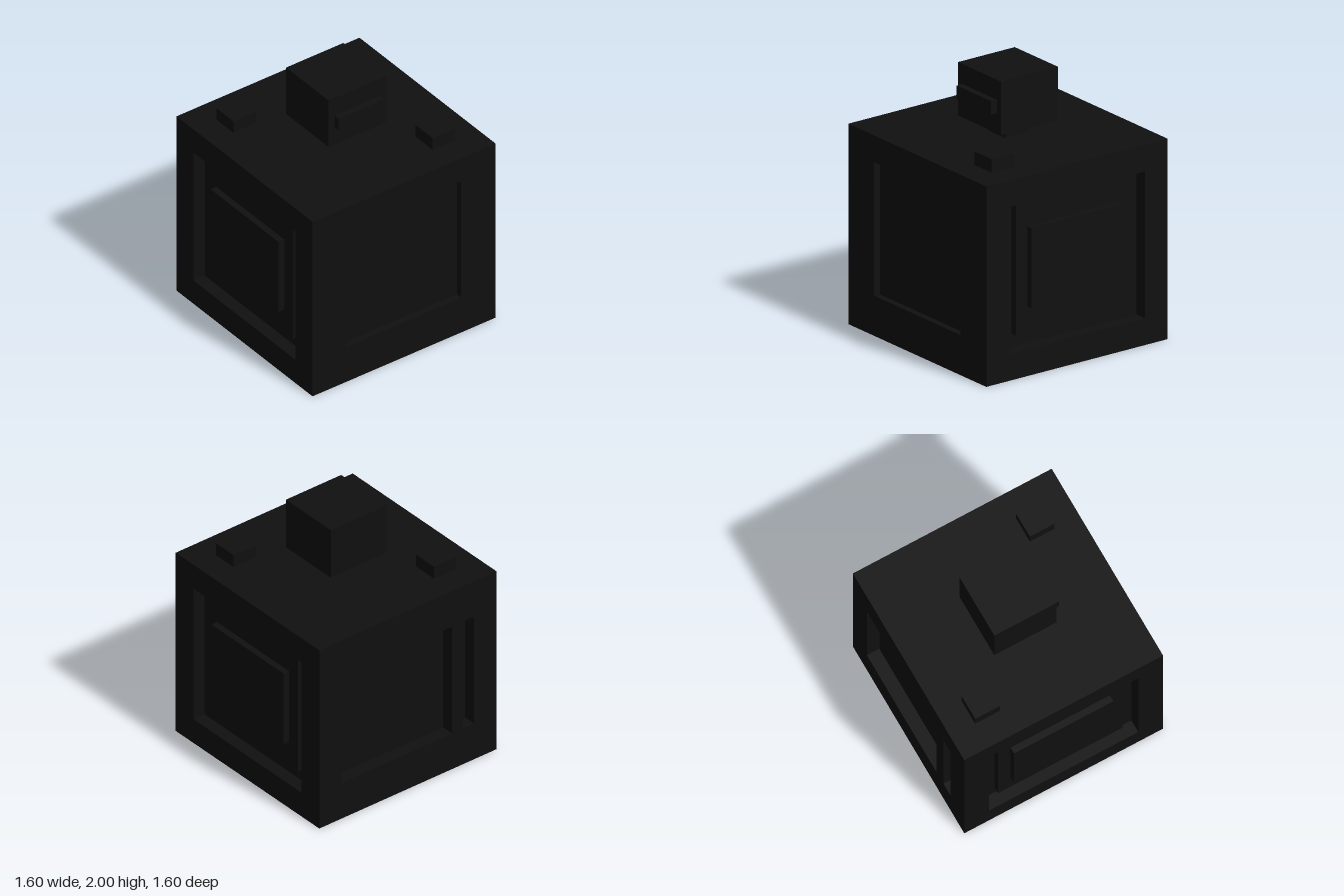
import * as THREE from 'three';

export function createModel() {
  const model = new THREE.Group();
  const black = new THREE.MeshStandardMaterial({ color: 0x101010 });
  black.name = 'black';

  const add = (name, geometry, parent = model) => {
    const mesh = new THREE.Mesh(geometry, black);
    mesh.name = name;
    parent.add(mesh);
    return mesh;
  };

  // Box given by its limits on each axis
  const box = (name, [x0, x1], [y0, y1], [z0, z1], parent) =>
    add(name, new THREE.BoxGeometry(x1 - x0, y1 - y0, z1 - z0), parent)
      .position.set((x0 + x1) / 2, (y0 + y1) / 2, (z0 + z1) / 2);

  const rect = (Type, [x0, x1], [y0, y1]) => new Type([
    new THREE.Vector2(x0, y0), new THREE.Vector2(x1, y0),
    new THREE.Vector2(x1, y1), new THREE.Vector2(x0, y1),
  ]);

  // Wall plate 0.1 thick with rectangular openings, turned to face its side
  const wall = (name, angle, halfWidth, openings) => {
    const group = new THREE.Group();
    group.name = name;
    group.rotation.y = angle;
    const shape = rect(THREE.Shape, [-halfWidth, halfWidth], [0, 1.5]);
    for (const [x, y] of openings) shape.holes.push(rect(THREE.Path, x, y));
    const plate = new THREE.ExtrudeGeometry(shape, { depth: 0.1, bevelEnabled: false });
    add(name + 'Plate', plate.translate(0, 0, 0.7), group);
    model.add(group);
    return group;
  };

  // Body core
  box('bodyCore', [-0.7, 0.7], [0, 1.5], [-0.7, 0.7]);

  // Front: one shallow square recess
  const front = wall('frontWall', 0, 0.8, [[[-0.5, 0.5], [0.3, 1.3]]]);
  box('frontPanel', [-0.5, 0.5], [0.3, 1.3], [0.7, 0.75], front);

  // Back: wide recess beside a narrow slot
  wall('backWall', Math.PI, 0.8, [[[-0.6, 0.4], [0.3, 1.2]], [[0.5, 0.6], [0.3, 1.2]]]);

  // Sides: recess holding two stepped panels
  for (const [name, s] of [['left', 1], ['right', -1]]) {
    const side = wall(name + 'Wall', s * Math.PI / 2, 0.7, [[[-0.6, 0.6], [0.2, 1.3]]]);
    box(name + 'LowerPanel', [-0.5, 0.5], [0.3, 1.3], [0.7, 0.75], side);
    box(name + 'UpperPanel', [-0.4, 0.4], [0.5, 1.1], [0.75, 0.8], side);
  }

  // Two studs on opposite corners of the top
  for (const s of [1, -1]) {
    add(s > 0 ? 'frontStud' : 'backStud', new THREE.BoxGeometry(0.2, 0.1, 0.2))
      .position.set(s * 0.5, 1.55, s * 0.5);
  }

  // Neck, head and visor
  box('neck', [-0.1, 0.1], [1.5, 1.6], [-0.1, 0.1]);
  box('head', [-0.25, 0.25], [1.6, 2], [-0.25, 0.25]);
  box('visor', [-0.2, 0.2], [1.75, 1.85], [0.25, 0.3]);

  return model;
}
